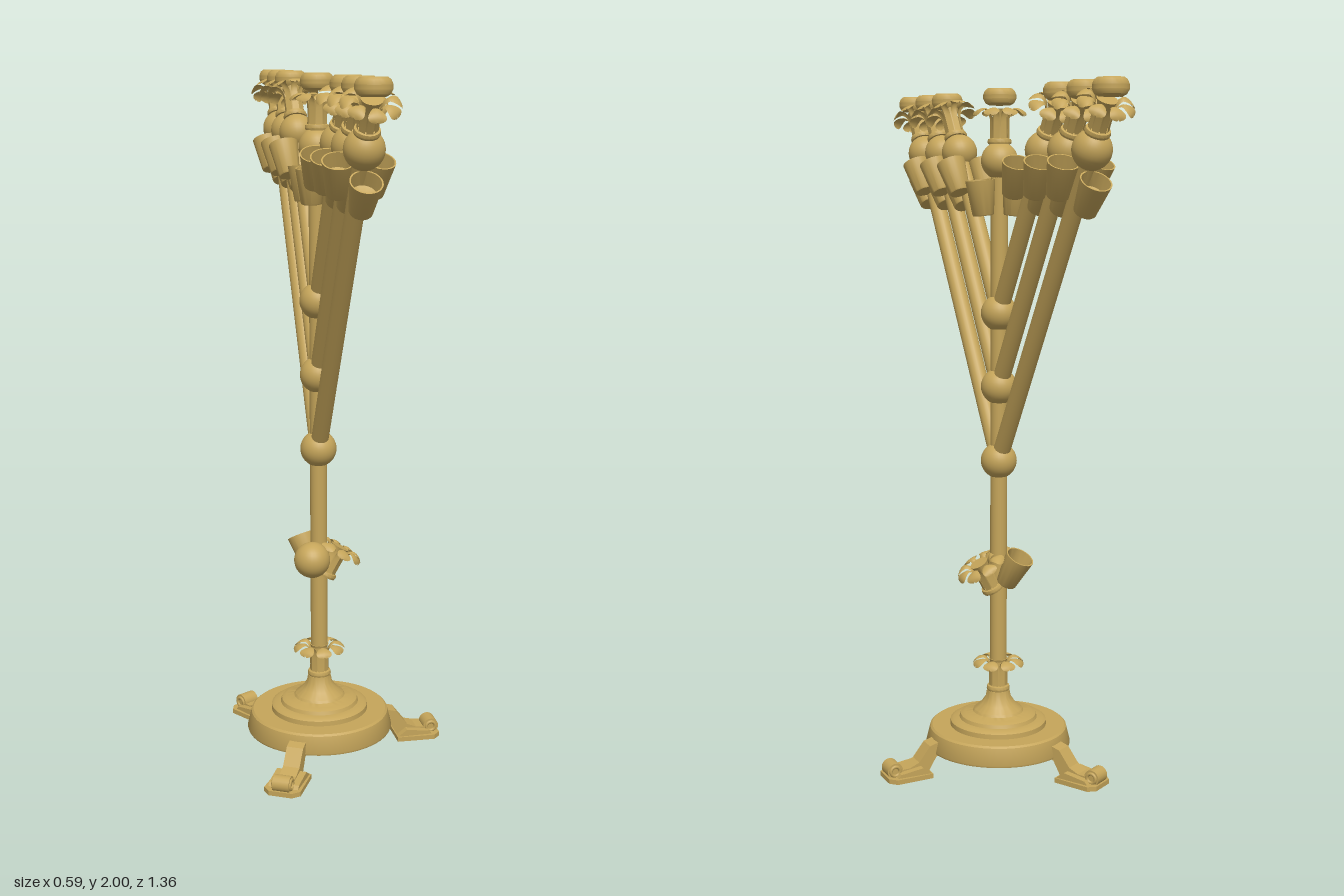
import * as THREE from 'three';
import { toCreasedNormals } from 'three/addons/utils/BufferGeometryUtils.js';

const gold = new THREE.MeshStandardMaterial({ color: 0xc5a55a });
const goldThin = new THREE.MeshStandardMaterial({ color: 0xc5a55a, side: THREE.DoubleSide });
const AXIS_X = -0.08, THIRD = Math.PI * 2 / 3;
const TILT = 0.545, TOP_Y = 1.975, TUBE_R = 0.025;

function add(parent, name, geometry, material = gold) {
  const mesh = new THREE.Mesh(geometry, material);
  mesh.name = name;
  parent.add(mesh);
  return mesh;
}

function group(parent, name) {
  const g = new THREE.Group();
  g.name = name;
  parent.add(g);
  return g;
}

function lathe(points, segments = 32) {
  const profile = points.map(([r, y]) => new THREE.Vector2(r, y));
  return toCreasedNormals(new THREE.LatheGeometry(profile, segments), 0.6);
}

// Petal: a strip that climbs the stalk, then bends outward into a drooping rounded leaf
function petalGeometry() {
  const path = new THREE.CatmullRomCurve3([
    [0.027, -0.095], [0.026, -0.05], [0.029, -0.015], [0.043, 0], [0.06, -0.002], [0.071, -0.009], [0.077, -0.018],
  ].map(([x, y]) => new THREE.Vector3(x, y, 0)));
  const g = new THREE.PlaneGeometry(1, 1, 4, 18);
  const p = g.attributes.position;
  for (let i = 0; i < p.count; i++) {
    const side = p.getX(i) * 2, t = p.getY(i) + 0.5;
    const c = path.getPoint(t);
    const leaf = t < 0.5 ? 0.009 : 0.009 + 0.014 * Math.sin((t - 0.5) / 0.3 * Math.PI / 2);
    const half = t < 0.8 ? leaf : 0.023 * Math.sqrt(Math.max(0.02, 1 - ((t - 0.8) / 0.2) ** 2));
    p.setXYZ(i, c.x, c.y - 0.004 * side * side, -side * half);
  }
  g.computeVertexNormals();
  return g;
}

const ballGeo = new THREE.SphereGeometry(0.053, 28, 18);
const petalGeo = petalGeometry();
const stalkGeo = lathe([[0, -0.1], [0.033, -0.1], [0.035, -0.094], [0.033, -0.086], [0.022, -0.083], [0.021, -0.02], [0.028, -0.002], [0, -0.002]], 20);
const cupGeo = lathe([[0, -0.05], [0.029, -0.05], [0.031, -0.047], [0.043, 0.05], [0.039, 0.05], [0.033, 0.01], [0, 0]], 24);
const holderGeo = lathe([[0, -0.022], [0.03, -0.022], [0.041, -0.016], [0.047, -0.004], [0.047, 0.007], [0.042, 0.019],
  [0.034, 0.025], [0.026, 0.022], [0.023, 0.012], [0.021, 0.002], [0, 0]], 28);

// Flower: opening at the local origin, stalk hanging below
function flower(parent) {
  const f = group(parent, 'flower');
  add(f, 'flowerStalk', stalkGeo);
  for (let i = 0; i < 8; i++) add(f, 'petal', petalGeo, goldThin).rotation.y = i * Math.PI / 4;
  return f;
}

// Almond cup standing off the axis and leaning outward
function cup(parent, angle, radius, y, lean) {
  const arm = group(parent, 'cupArm');
  arm.rotation.y = angle;
  const c = add(arm, 'cup', cupGeo);
  c.position.set(radius, y, 0);
  c.rotation.z = -lean;
}

// Tube end: three cups, a ball, a flower and an upright candle holder
function branchEnd(parent, z, turn, tilt) {
  const end = group(parent, 'branchEnd');
  end.position.set(0, TOP_Y, z);
  end.rotation.y = turn;
  add(end, 'candleHolder', holderGeo);
  const spray = group(end, 'spray');
  spray.rotation.z = -tilt;
  add(spray, 'ball', ballGeo).position.y = -0.176;
  flower(spray).position.y = -0.03;
  for (let i = 0; i < 3; i++) cup(spray, i * THIRD, 0.056, -0.28, 0.1);
}

function tube(parent, name, from, to) {
  const dir = to.clone().sub(from);
  const m = add(parent, name, new THREE.CylinderGeometry(TUBE_R, TUBE_R, dir.length(), 24));
  m.position.copy(from).addScaledVector(dir, 0.5);
  m.quaternion.setFromUnitVectors(new THREE.Vector3(0, 1, 0), dir.normalize());
}

function extrude(points, depth) {
  const shape = new THREE.Shape(points.map(([x, y]) => new THREE.Vector2(x, y)));
  return new THREE.ExtrudeGeometry(shape, { depth, bevelEnabled: false });
}

// Foot: slanted leg, wide sole with clipped corners and a scroll at the toe
function foot(parent, angle) {
  const f = group(parent, 'foot');
  f.rotation.y = angle;
  add(f, 'footLeg', extrude([[0.19, 0.06], [0.215, 0.055], [0.24, 0.012], [0.35, 0.012], [0.345, 0.03], [0.3, 0.032],
    [0.27, 0.045], [0.235, 0.09], [0.2, 0.1]], 0.05)).position.z = -0.025;
  const sole = add(f, 'footSole', extrude([[0.235, -0.05], [0.35, -0.055], [0.37, -0.035], [0.37, 0.035], [0.35, 0.055], [0.235, 0.05]], 0.014));
  sole.rotation.x = -Math.PI / 2;
  const side = add(f, 'footInstep', extrude([[0.235, 0.012], [0.345, 0.012], [0.335, 0.024], [0.265, 0.034]], 0.09));
  side.position.z = -0.045;
  const scroll = add(f, 'toeScroll', new THREE.CylinderGeometry(0.024, 0.024, 0.05, 20));
  scroll.rotation.x = Math.PI / 2;
  scroll.position.set(0.346, 0.03, 0);
  for (const s of [-1, 1]) {
    const curl = add(f, 'scrollCurl', new THREE.TorusGeometry(0.014, 0.005, 8, 20));
    curl.position.set(0.346, 0.03, s * 0.025);
  }
}

export function createModel() {
  const root = new THREE.Group();
  root.name = 'candelabrum';
  const body = group(root, 'body');
  body.position.x = AXIS_X;

  // Stepped round base on three feet
  add(body, 'base', lathe([[0, 0.06], [0.216, 0.06], [0.218, 0.066], [0.206, 0.115], [0.2, 0.12], [0.145, 0.12], [0.144, 0.134],
    [0.135, 0.14], [0.117, 0.142], [0.113, 0.152], [0.1, 0.158], [0.076, 0.161], [0.072, 0.168], [0.052, 0.184],
    [0.038, 0.205], [0.034, 0.226], [0, 0.23]], 56));
  for (let i = 0; i < 3; i++) foot(body, i * THIRD);

  // Central stem with a flower at its foot
  tube(body, 'stem', new THREE.Vector3(0, 0.2, 0), new THREE.Vector3(0, 1.8, 0));
  flower(body).position.y = 0.326;

  // Knob on the stem: ball, flower and cup spread around it
  const knob = group(body, 'stemKnob');
  knob.position.y = 0.605;
  add(knob, 'knobBall', ballGeo).position.set(-0.03, 0, 0.045);
  const bloom = flower(knob);
  bloom.position.set(0.066, 0.022, 0);
  bloom.rotation.z = -Math.PI / 6;
  cup(knob, THIRD, 0.052, 0, Math.PI / 6);

  // Three pairs of slanted branches, each pair springing from a ball
  branchEnd(body, 0, 0, 0);
  for (const y of [0.93, 1.15, 1.365]) {
    add(body, 'branchNode', ballGeo).position.y = y;
    for (const s of [-1, 1]) {
      const z = s * (TOP_Y - y) * Math.tan(TILT);
      const start = new THREE.Vector3(0, y, 0);
      tube(body, 'branch', start, new THREE.Vector3(0, TOP_Y, z).lerp(start, 0.18 / ((TOP_Y - y) / Math.cos(TILT))));
      branchEnd(body, z, -s * Math.PI / 2, TILT);
    }
  }
  return root;
}
